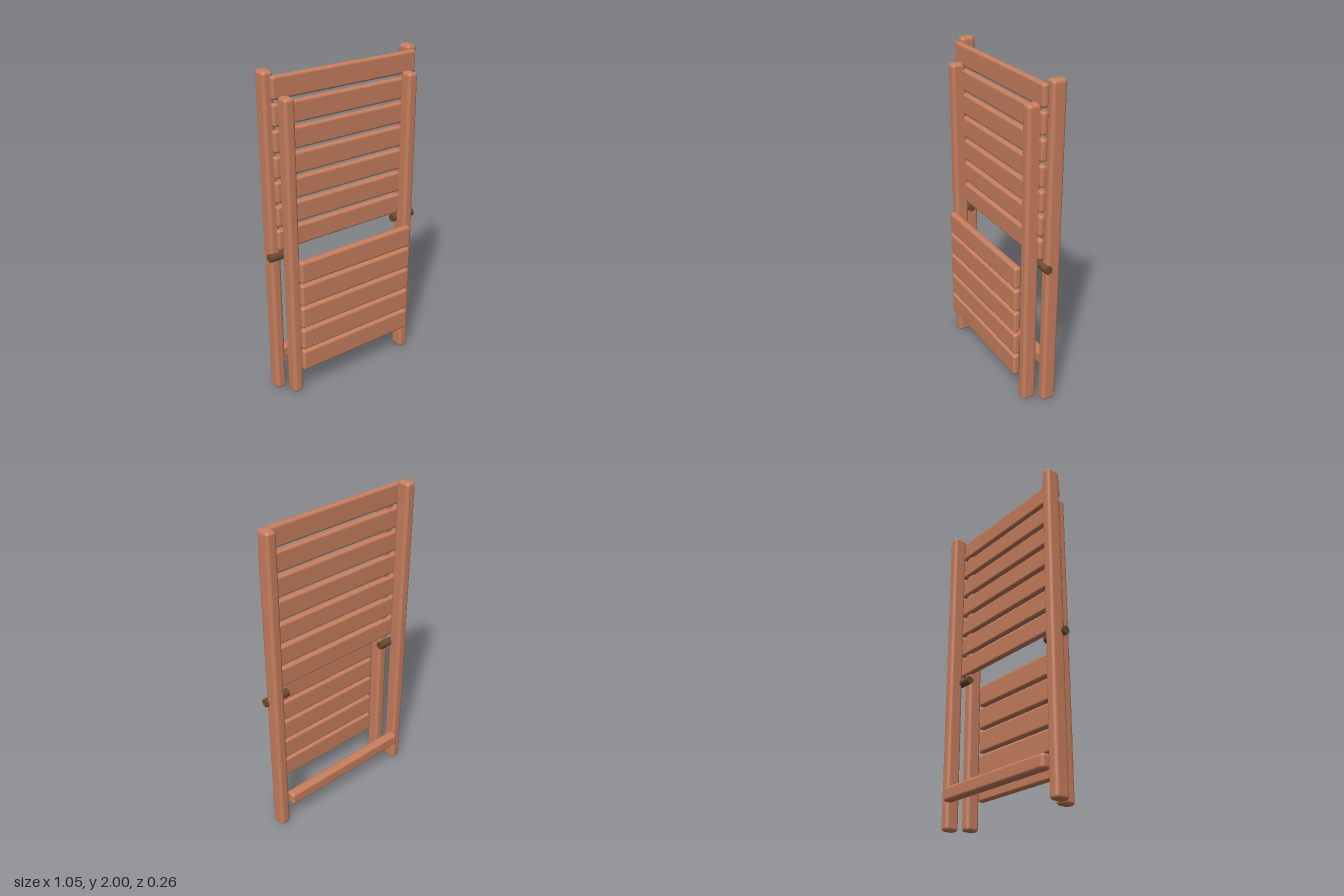
import * as THREE from 'three';
import { RoundedBoxGeometry } from 'three/addons/geometries/RoundedBoxGeometry.js';

export function createModel() {
  const model = new THREE.Group();
  model.name = 'foldedSlattedChair';

  const wood = new THREE.MeshStandardMaterial({ color: 0xc87f5e });
  wood.name = 'wood';
  const darkMetal = new THREE.MeshStandardMaterial({ color: 0x6b4a30 });
  darkMetal.name = 'dark metal';

  // Rounded timber given by its extents on each axis
  function timber(name, [x0, x1], [y0, y1], [z0, z1], radius) {
    const geometry = new RoundedBoxGeometry(x1 - x0, y1 - y0, z1 - z0, 3, radius);
    const mesh = new THREE.Mesh(geometry, wood);
    mesh.position.set((x0 + x1) / 2, (y0 + y1) / 2, (z0 + z1) / 2);
    mesh.name = name;
    model.add(mesh);
  }

  for (const side of [1, -1]) {
    const label = side > 0 ? 'left' : 'right';
    const span = (a, b) => (side > 0 ? [a, b] : [-b, -a]);

    // Long uprights of the back frame, shorter ones of the seat frame
    timber(label + 'BackPost', span(0.445, 0.51), [0.005, 2], [-0.098, -0.01], 0.02);
    timber(label + 'SeatPost', span(0.38, 0.445), [0.005, 1.87], [0.002, 0.088], 0.02);

    // Pivot rod through both frames
    const rod = new THREE.Mesh(new THREE.CylinderGeometry(0.025, 0.025, 0.163, 10), darkMetal);
    rod.rotation.z = Math.PI / 2;
    rod.position.set(side * 0.443, 0.935, -0.012);
    rod.name = label + 'PivotRod';
    model.add(rod);
  }

  // Backrest slats
  for (let i = 0; i < 7; i++) {
    const y = 0.983 + i * 0.145;
    timber('backSlat' + (i + 1), [-0.477, 0.477], [y, y + 0.126], [-0.014, 0.025], 0.015);
  }

  // Seat slats
  for (let i = 0; i < 5; i++) {
    const y = 0.183 + i * 0.151;
    timber('seatSlat' + (i + 1), [-0.4, 0.4], [y, y + 0.138], [0.086, 0.13], 0.016);
  }

  // Rear cross bar near the feet
  timber('rearCrossBar', [-0.445, 0.445], [0.162, 0.25], [-0.132, -0.07], 0.02);

  return model;
}
